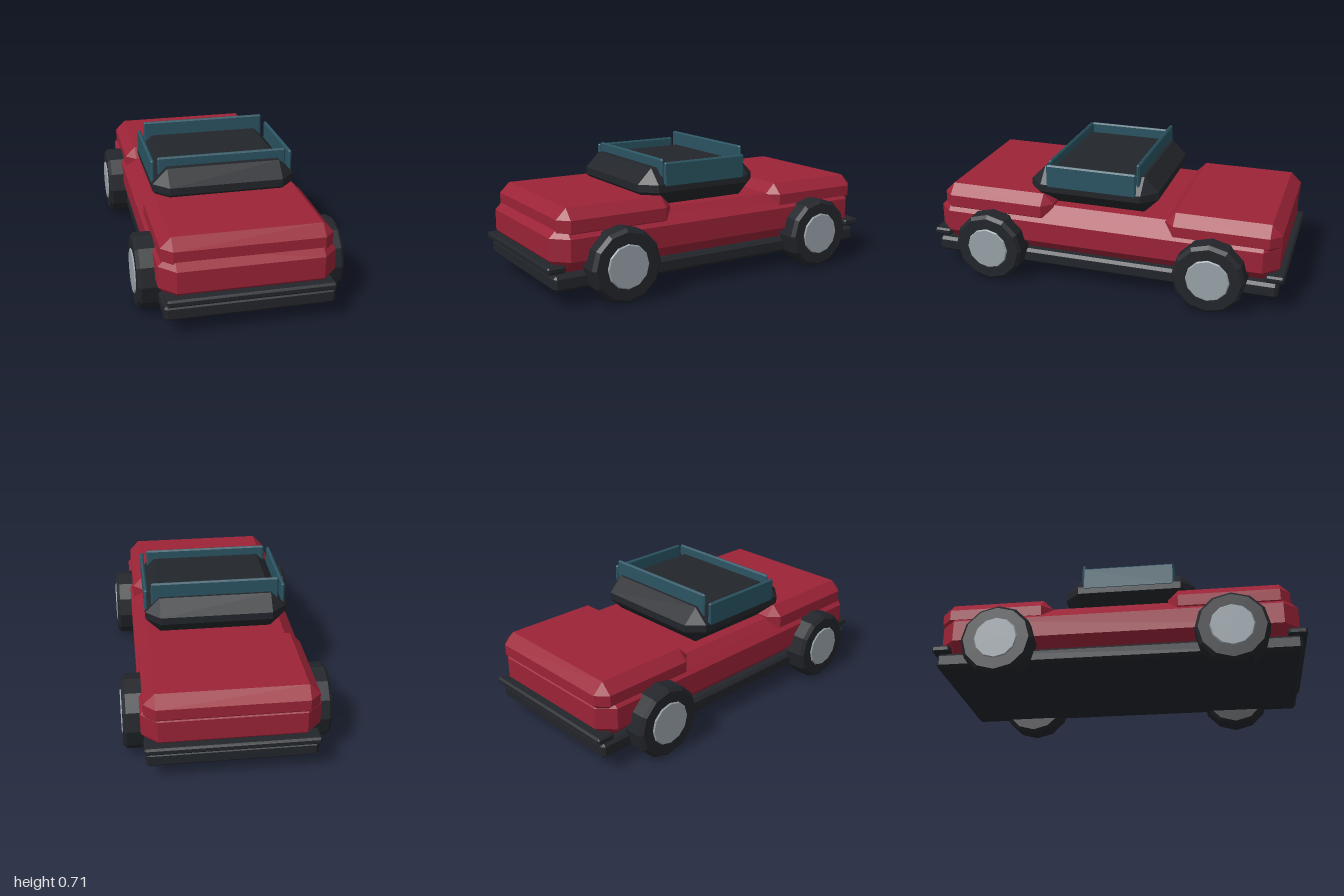
import * as THREE from 'three';
import { ConvexGeometry } from 'three/addons/geometries/ConvexGeometry.js';

const paint = (color) => new THREE.MeshStandardMaterial({ color, flatShading: true });

// Box between two corners with every edge cut by one flat bevel.
function bevelBox(name, material, [x0, y0, z0], [x1, y1, z1], bevel) {
  const half = [(x1 - x0) / 2, (y1 - y0) / 2, (z1 - z0) / 2];
  const points = [];
  for (const sx of [-1, 1]) for (const sy of [-1, 1]) for (const sz of [-1, 1]) {
    for (let axis = 0; axis < 3; axis++) {
      const p = half.map((h, i) => (i === axis ? h : h - bevel));
      points.push(new THREE.Vector3(sx * p[0], sy * p[1], sz * p[2]));
    }
  }
  const mesh = new THREE.Mesh(new ConvexGeometry(points), material);
  mesh.name = name;
  mesh.position.set((x0 + x1) / 2, (y0 + y1) / 2, (z0 + z1) / 2);
  return mesh;
}

// Disc with bevelled rims, its axis along x.
function bevelDisc(name, material, radius, x0, x1, bevel, sides) {
  const profile = [
    [0, x0], [radius - bevel, x0], [radius, x0 + bevel],
    [radius, x1 - bevel], [radius - bevel, x1], [0, x1],
  ].map(([r, h]) => new THREE.Vector2(r, h));
  const geometry = new THREE.LatheGeometry(profile, sides);
  geometry.rotateZ(-Math.PI / 2);
  const mesh = new THREE.Mesh(geometry, material);
  mesh.name = name;
  return mesh;
}

export function createModel() {
  const car = new THREE.Group();
  car.name = 'car';
  const red = paint(0x9b2337);
  const dark = paint(0x22252a);
  const glass = paint(0x2a5462);
  const metal = paint(0x98a2a9);

  // Bodywork
  car.add(
    bevelBox('body', red, [-0.45, 0.155, -0.965], [0.45, 0.43, 0.965], 0.08),
    bevelBox('hood', red, [-0.435, 0.32, 0.28], [0.435, 0.495, 0.93], 0.055),
    bevelBox('rearDeck', red, [-0.435, 0.31, -0.97], [0.435, 0.482, -0.35], 0.057),
    bevelBox('cabin', dark, [-0.385, 0.43, -0.295], [0.385, 0.63, 0.43], 0.08),
  );

  // Underside and bumpers
  car.add(
    bevelBox('chassis', dark, [-0.435, 0.087, -0.97], [0.435, 0.17, 0.97], 0.016),
    bevelBox('frontBumper', dark, [-0.425, 0.178, 0.9], [0.425, 0.217, 1], 0.01),
    bevelBox('rearBumper', dark, [-0.44, 0.178, -1], [0.44, 0.217, -0.9], 0.01),
  );

  // Window panes
  car.add(
    bevelBox('windshield', glass, [-0.35, 0.52, 0.295], [0.35, 0.68, 0.315], 0.008),
    bevelBox('rearWindow', glass, [-0.35, 0.52, -0.2], [0.35, 0.71, -0.18], 0.008),
  );
  for (const [side, x] of [['left', 0.377], ['right', -0.377]]) {
    car.add(bevelBox(side + 'Window', glass,
      [x - 0.01, 0.535, -0.19], [x + 0.01, 0.667, 0.315], 0.008));
  }

  // Wheels
  for (const [end, z] of [['front', 0.615], ['rear', -0.62]]) {
    for (const [side, s] of [['Left', 1], ['Right', -1]]) {
      const wheel = new THREE.Group();
      wheel.name = end + side + 'Wheel';
      wheel.add(
        bevelDisc('tire', dark, 0.195, -0.068, 0.068, 0.018, 12),
        bevelDisc('hub', metal, 0.117, 0.03, 0.075, 0.006, 12),
      );
      wheel.position.set(s * 0.469, 0.195, z);
      if (s < 0) wheel.rotation.y = Math.PI;
      car.add(wheel);
    }
  }
  return car;
}
